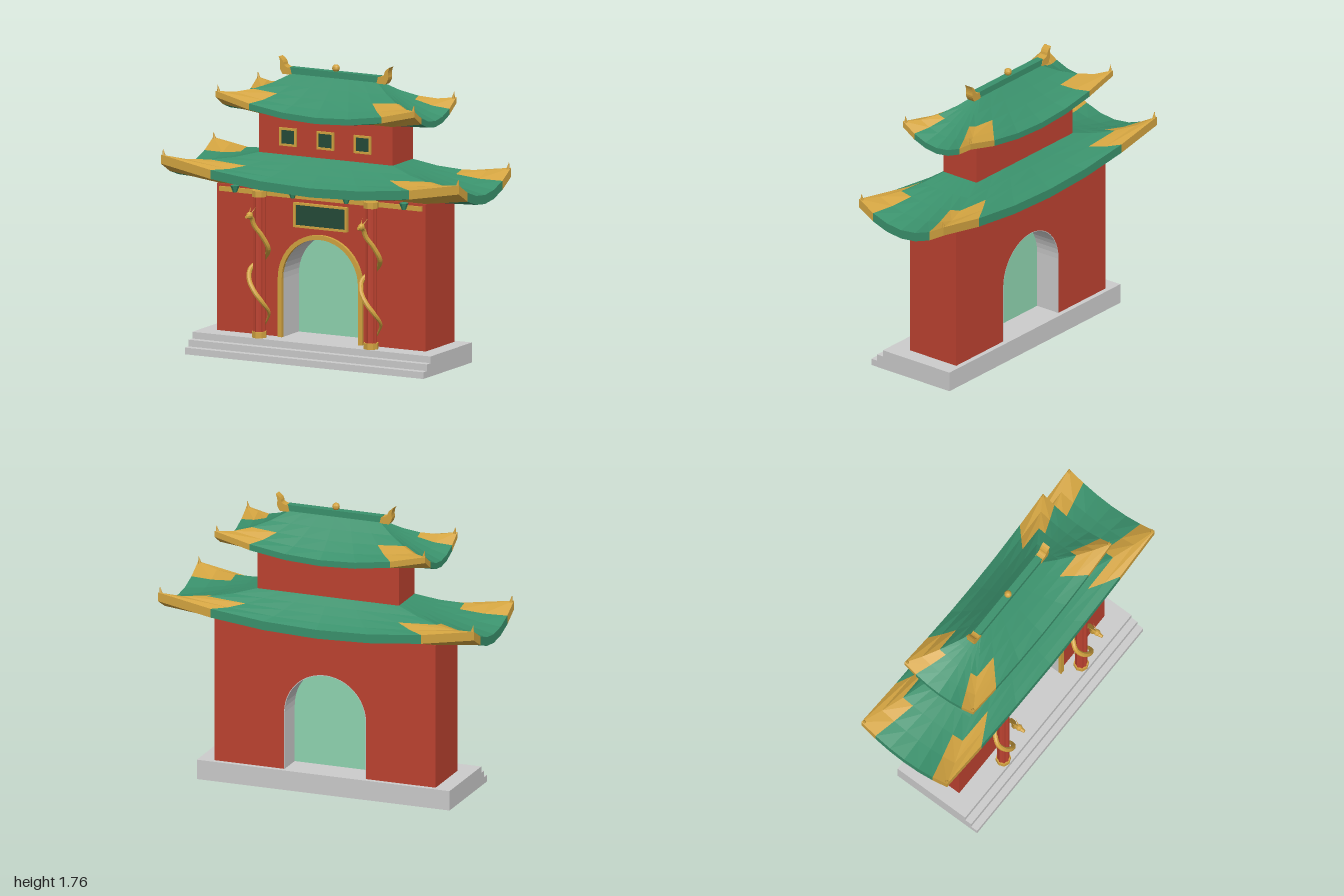
import * as THREE from 'three';

const mat = (color, side = THREE.FrontSide) =>
  new THREE.MeshStandardMaterial({ color, side, flatShading: true });
const red = mat(0xbc4230), green = mat(0x3a916c), gold = mat(0xd2a340), dark = mat(0x254a38);
const grey = mat(0xcccccc), jade = mat(0x8fd4b0, THREE.DoubleSide);
const ZC = -0.047; // centre line of the building in z

export function createModel() {
  const model = new THREE.Group();

  const add = (name, geometry, material, x = 0, y = 0, z = 0, parent = model) => {
    const mesh = new THREE.Mesh(geometry, material);
    mesh.name = name;
    mesh.position.set(x, y, z);
    parent.add(mesh);
    return mesh;
  };
  // Box given by its lower and upper corners
  const box = (name, m, x0, x1, y0, y1, z0, z1) =>
    add(name, new THREE.BoxGeometry(x1 - x0, y1 - y0, z1 - z0), m,
      (x0 + x1) / 2, (y0 + y1) / 2, (z0 + z1) / 2);
  const extrude = (shape, depth) =>
    new THREE.ExtrudeGeometry(shape, { depth, bevelEnabled: false, curveSegments: 12 });

  // Stepped platform
  for (let i = 0; i < 3; i++)
    box('platformStep', grey, -0.8, 0.8, i * 0.04, (i + 1) * 0.04, -0.25, 0.34 - i * 0.044);

  // Arch outline of half width r, used for the wall opening, lining, trim and panel
  const arch = (r, Type = THREE.Shape) => {
    const p = new Type();
    p.moveTo(-r, 0.12);
    p.lineTo(r, 0.12);
    p.lineTo(r, 0.47);
    p.absarc(0, 0.47, r, 0, Math.PI, false);
    p.lineTo(-r, 0.12);
    return p;
  };
  // Arch-shaped band open at the bottom
  const archBand = (outer, inner) => {
    const p = new THREE.Shape();
    p.moveTo(outer, 0.12);
    p.lineTo(outer, 0.47);
    p.absarc(0, 0.47, outer, 0, Math.PI, false);
    p.lineTo(-outer, 0.12);
    p.lineTo(-inner, 0.12);
    p.lineTo(-inner, 0.47);
    p.absarc(0, 0.47, inner, Math.PI, 0, true);
    p.lineTo(inner, 0.12);
    return p;
  };

  // Main wall with arched gateway, cut as one outline from the ground up
  const wall = new THREE.Shape();
  wall.moveTo(0.26, 0.12);
  wall.lineTo(0.7, 0.12);
  wall.lineTo(0.7, 1.0);
  wall.lineTo(-0.7, 1.0);
  wall.lineTo(-0.7, 0.12);
  wall.lineTo(-0.26, 0.12);
  wall.lineTo(-0.26, 0.47);
  wall.absarc(0, 0.47, 0.26, Math.PI, 0, true);
  add('mainWall', extrude(wall, 0.35), red, 0, 0, -0.22);
  add('archLining', extrude(archBand(0.26, 0.256), 0.349), grey, 0, 0, -0.2195);
  add('archTrim', extrude(archBand(0.283, 0.256), 0.02), gold, 0, 0, 0.13);
  add('gatePanel', new THREE.ShapeGeometry(arch(0.257), 12), jade, 0, 0, -0.06);

  // Framed panel on a front-facing wall
  const framed = (name, x, y, w, h, z, border, depth) => {
    box(name + 'Back', dark, x - w / 2 + border, x + w / 2 - border,
      y - h / 2 + border, y + h / 2 - border, z, z + depth * 0.5);
    const s = new THREE.Shape(), hole = new THREE.Path();
    const rect = (p, a, b) => p.moveTo(-a, -b).lineTo(a, -b).lineTo(a, b).lineTo(-a, b).closePath();
    rect(s, w / 2, h / 2);
    rect(hole, w / 2 - border, h / 2 - border);
    s.holes.push(hole);
    add(name + 'Frame', extrude(s, depth), gold, x, y, z);
  };
  framed('plaque', 0, 0.861, 0.36, 0.148, 0.13, 0.013, 0.02);

  // Gold frieze and small brackets below the eaves
  box('frieze', gold, -0.68, 0.68, 0.957, 0.985, 0.13, 0.142);
  for (const x of [-0.567, -0.18, 0.18, 0.567])
    add('eaveBracket', new THREE.CylinderGeometry(0.028, 0.012, 0.04, 6), green, x, 0.981, 0.155);

  // Upper storey with three windows
  box('upperStorey', red, -0.448, 0.448, 1.1, 1.45, ZC - 0.124, ZC + 0.124);
  for (const x of [-0.25, 0, 0.25]) framed('window', x, 1.308, 0.115, 0.108, 0.077, 0.013, 0.012);

  // Hipped roof with upswept corners: rows run from the wall, out to the eave, then up to the top
  const hipRoof = (name, o) => {
    const roof = new THREE.Group();
    roof.name = name;
    roof.position.z = ZC;
    model.add(roof);
    const lerp = THREE.MathUtils.lerp, NU = 6, NV = 4;
    const green_ = [], gold_ = [];
    for (let k = 0; k < 4; k++) {
      const swap = k % 2, pick = ([x, z]) => (swap ? [z, x] : [x, z]);
      const [L, D] = pick(o.eave), [tL, tD] = pick(o.top), [wL, wD] = pick(o.wall);
      const point = (i, row) => {
        const s = (2 * i) / NU - 1, v = Math.max(0, (row - 2) / NV);
        let along = s * lerp(L, tL, v), out = lerp(D, tD, v);
        let y = o.y + o.lift * s * s * (1 - v) ** 2 + (o.topY - o.y) * v ** 1.2;
        if (row === 1) y -= o.drop;
        if (row === 0) { along = s * wL; out = wD; y = o.y - o.drop; }
        return [[along, y, out], [out, y, -along], [-along, y, -out], [-out, y, along]][k];
      };
      for (let row = 0; row < NV + 2; row++)
        for (let i = 0; i < NU; i++) {
          const corner = (i === 0 || i === NU - 1) && row < 2 + NV / 2;
          const a = point(i, row), b = point(i + 1, row);
          const c = point(i + 1, row + 1), d = point(i, row + 1);
          // Split each cell symmetrically about the middle
          const tris = i < NU / 2 ? [a, b, c, a, c, d] : [a, b, d, b, c, d];
          (corner ? gold_ : green_).push(...tris.flat());
        }
    }
    for (const [part, data, m] of [['Tiles', green_, green], ['Corners', gold_, gold]]) {
      const g = new THREE.BufferGeometry();
      g.setAttribute('position', new THREE.Float32BufferAttribute(data, 3));
      g.computeVertexNormals();
      add(name + part, g, m, 0, 0, 0, roof);
    }
    // Small upturned tip on each corner
    for (const sx of [-1, 1])
      for (const sz of [-1, 1]) {
        const tip = add('cornerTip', new THREE.ConeGeometry(0.011, 0.045, 6), gold,
          sx * (o.eave[0] - 0.011), o.y + o.lift + 0.014, sz * (o.eave[1] - 0.011), roof);
        tip.rotation.z = -sx * 0.15;
      }
  };
  hipRoof('lowerRoof', { eave: [1, 0.318], top: [0.448, 0.124], wall: [0.69, 0.17],
    y: 1.055, lift: 0.11, drop: 0.054, topY: 1.2 });
  hipRoof('upperRoof', { eave: [0.667, 0.255], top: [0.29, 0.022], wall: [0.44, 0.12],
    y: 1.467, lift: 0.1, drop: 0.037, topY: 1.665 });

  // Ridge beam, finial ball and end horns
  box('ridge', green, -0.3, 0.3, 1.655, 1.703, ZC - 0.022, ZC + 0.022);
  add('ridgeBall', new THREE.SphereGeometry(0.023, 10, 8), gold, 0, 1.722, ZC);
  const horn = new THREE.Shape();
  horn.moveTo(0.285, 1.66);
  horn.lineTo(0.345, 1.66);
  horn.quadraticCurveTo(0.37, 1.69, 0.362, 1.715);
  horn.quadraticCurveTo(0.36, 1.74, 0.372, 1.762);
  horn.quadraticCurveTo(0.338, 1.745, 0.335, 1.715);
  horn.quadraticCurveTo(0.325, 1.7, 0.295, 1.7);
  const hornGeometry = new THREE.ExtrudeGeometry(horn, { depth: 0.05, bevelEnabled: false, curveSegments: 4 });
  add('ridgeHorn', hornGeometry, gold, 0, 0, ZC - 0.025);
  add('ridgeHorn', hornGeometry, gold, 0, 0, ZC + 0.025).rotation.y = Math.PI;

  // Fluted column shaft: every second edge pulled inward
  const shaft = new THREE.CylinderGeometry(0.038, 0.038, 0.86, 16);
  const sp = shaft.attributes.position;
  for (let i = 0; i < sp.count; i++) {
    const n = Math.round(Math.atan2(sp.getX(i), sp.getZ(i)) / (Math.PI / 8));
    if (n % 2) { sp.setX(i, sp.getX(i) * 0.86); sp.setZ(i, sp.getZ(i) * 0.86); }
  }

  // Coiling dragon body, tapering to the tail
  const path = new THREE.CatmullRomCurve3([
    [0.01, 0.19, -0.055], [0.06, 0.27, -0.01], [0.045, 0.335, 0.04], [0, 0.4, 0.058],
    [-0.045, 0.465, 0.04], [-0.058, 0.525, 0], [0, 0.585, -0.055], [0.06, 0.655, 0],
    [0.04, 0.74, 0.045], [0.008, 0.8, 0.075], [0, 0.85, 0.095], [0, 0.868, 0.125],
  ].map((p) => new THREE.Vector3(...p)));
  const body = new THREE.TubeGeometry(path, 72, 0.015, 8);
  const bp = body.attributes.position, v = new THREE.Vector3();
  for (let i = 0; i < bp.count; i++) {
    const t = Math.floor(i / 9) / 72, c = path.getPointAt(t);
    v.fromBufferAttribute(bp, i).sub(c).multiplyScalar(Math.min(1, 0.3 + t * 3)).add(c);
    bp.setXYZ(i, v.x, v.y, v.z);
  }

  for (const x of [-0.375, 0.375]) {
    const column = new THREE.Group();
    column.name = 'column';
    column.position.set(x, 0, 0.207);
    model.add(column);
    add('columnShaft', shaft, red, 0, 0.56, 0, column);
    for (const y of [0.138, 0.981])
      add('columnCollar', new THREE.CylinderGeometry(0.045, 0.045, 0.037, 8), gold, 0, y, 0, column);
    add('dragonBody', body, gold, 0, 0, 0, column);
    add('dragonHead', new THREE.SphereGeometry(0.021, 8, 6), gold, 0, 0.868, 0.118, column);
    const snout = add('dragonSnout', new THREE.CylinderGeometry(0.009, 0.016, 0.04, 6), gold,
      0, 0.864, 0.138, column);
    snout.rotation.x = Math.PI / 2;
    for (const s of [-1, 1]) {
      const h = add('dragonHorn', new THREE.ConeGeometry(0.004, 0.05, 5), gold,
        s * 0.013, 0.898, 0.088, column);
      h.rotation.set(-0.8, 0, -s * 0.25);
    }
  }
  return model;
}
